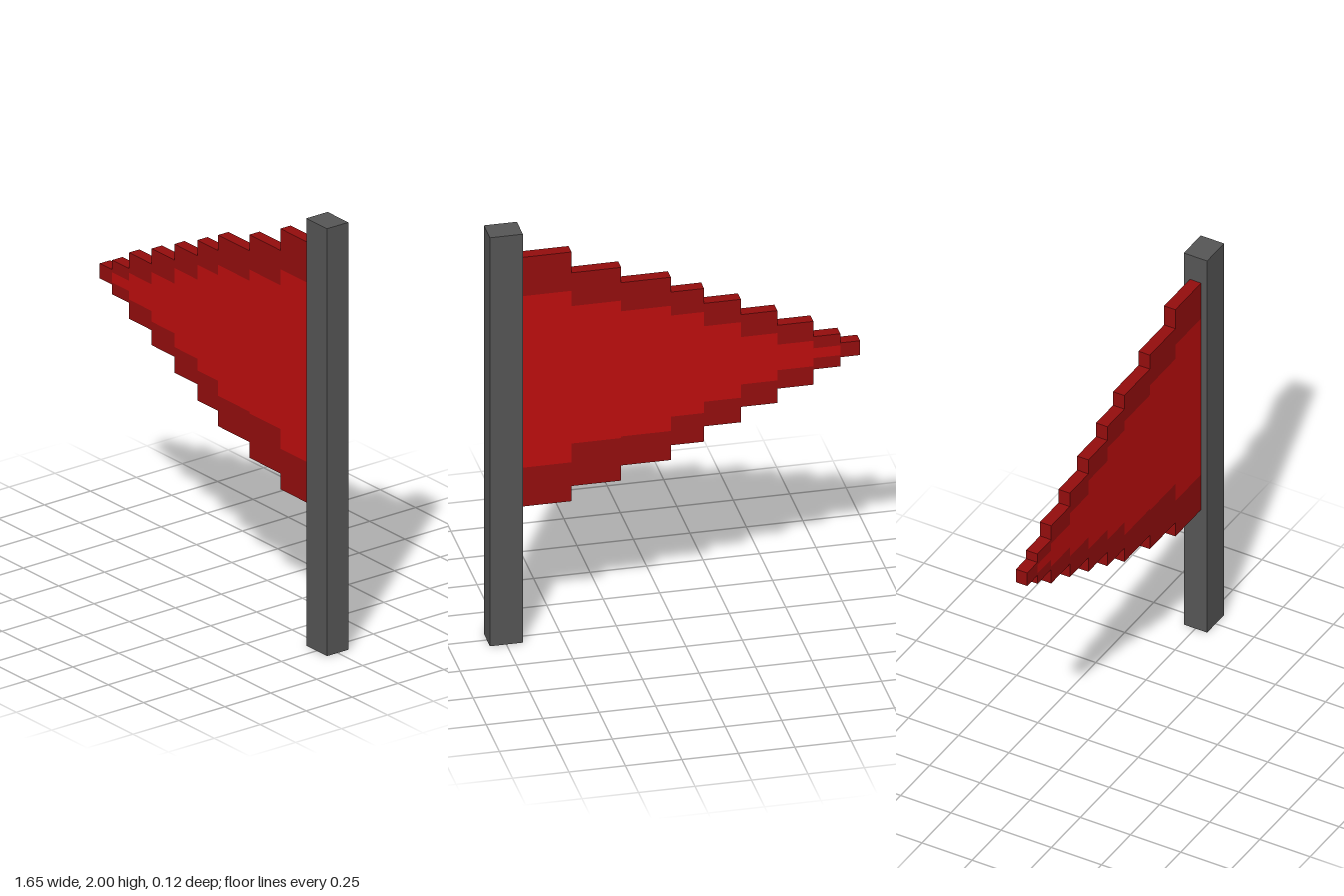
import * as THREE from 'three';

export function createModel() {
  const model = new THREE.Group();
  model.name = 'pennantFlag';

  const material = (name, color) => {
    const m = new THREE.MeshStandardMaterial({ color });
    m.name = name;
    return m;
  };
  const grey = material('pole grey', 0x555555);
  const red = material('bright red', 0xbc0d0d);
  const darkRed = material('dark red', 0x930d0d);

  // Box given by its extents in x and y, centred on z = 0
  const block = (name, mat, x0, x1, y0, y1, depth, parent) => {
    const mesh = new THREE.Mesh(new THREE.BoxGeometry(x1 - x0, y1 - y0, depth), mat);
    mesh.position.set((x0 + x1) / 2, (y0 + y1) / 2, 0);
    mesh.name = name;
    parent.add(mesh);
  };

  // Upright square pole
  block('pole', grey, 0.677, 0.823, 0, 2, 0.116, model);

  // Stepped cloth: [left x, bottom, field bottom, field top, top], tip to pole
  const columns = [
    [-0.823, 1.21, 1.245, 1.245, 1.28],
    [-0.735, 1.165, 1.22, 1.268, 1.325],
    [-0.616, 1.09, 1.18, 1.305, 1.4],
    [-0.456, 1.02, 1.13, 1.362, 1.472],
    [-0.295, 0.945, 1.065, 1.435, 1.547],
    [-0.132, 0.87, 1.01, 1.505, 1.62],
    [0.015, 0.798, 0.94, 1.553, 1.693],
    [0.235, 0.724, 0.932, 1.605, 1.768],
    [0.455, 0.65, 0.84, 1.68, 1.87],
  ];
  const depth = 0.056;
  const cloth = new THREE.Group();
  cloth.name = 'cloth';
  model.add(cloth);

  columns.forEach(([x0, bottom, fieldBottom, fieldTop, top], i) => {
    const x1 = i + 1 < columns.length ? columns[i + 1][0] : 0.677;
    if (fieldTop === fieldBottom) {
      block('tip', darkRed, x0, x1, bottom, top, depth, cloth);
      return;
    }
    block('lowerBorder', darkRed, x0, x1, bottom, fieldBottom, depth, cloth);
    block('field', red, x0, x1, fieldBottom, fieldTop, depth, cloth);
    block('upperBorder', darkRed, x0, x1, fieldTop, top, depth, cloth);
  });

  return model;
}
